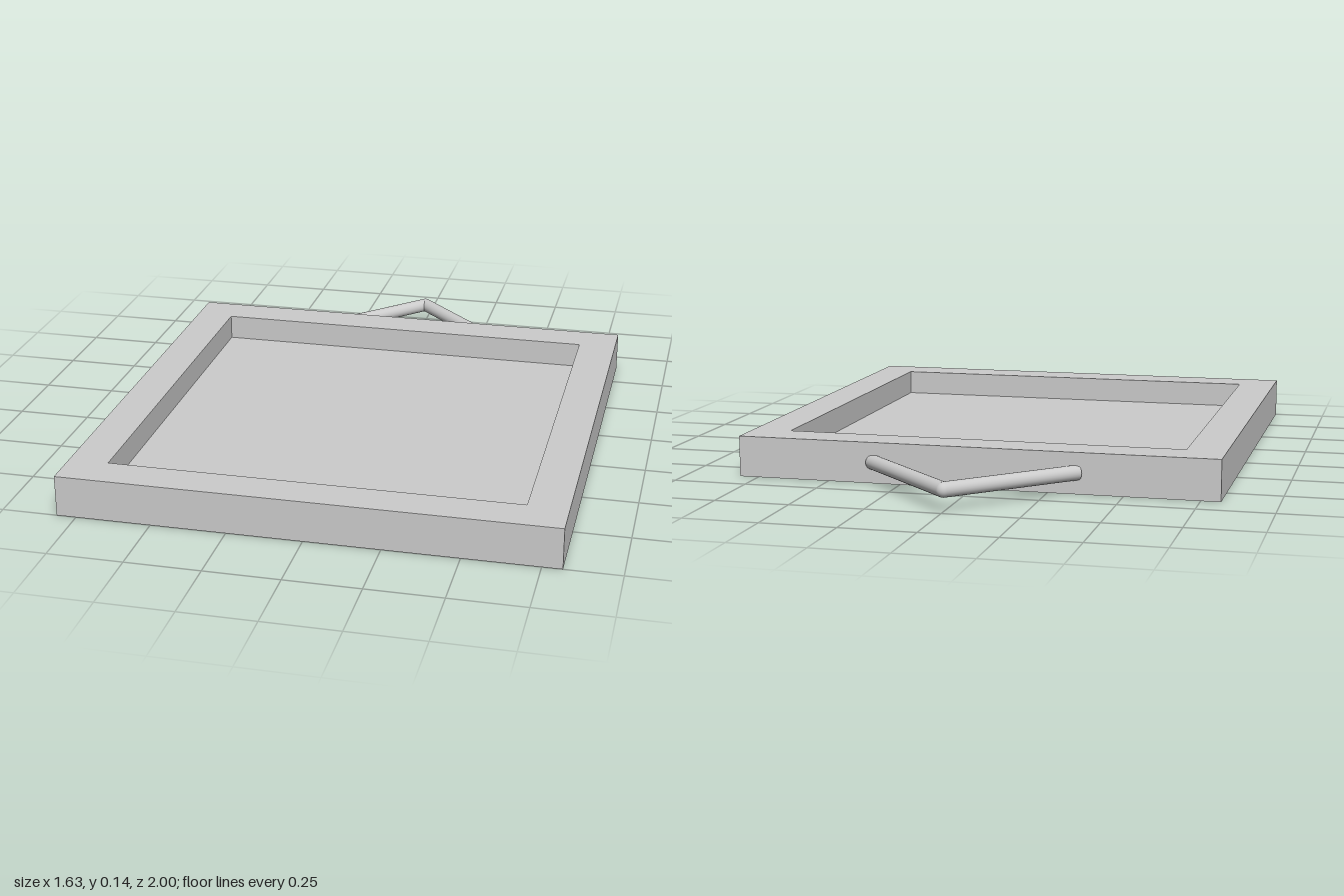
import * as THREE from 'three';

export function createModel() {
  const model = new THREE.Group();
  const flat = new THREE.MeshStandardMaterial({ color: 0xcccccc, flatShading: true });
  const smooth = new THREE.MeshStandardMaterial({ color: 0xcccccc });

  // Square tray frame with a recessed panel: one profile swept around four sides
  const profile = [[0, 0], [0.815, 0], [0.815, 0.138], [0.682, 0.138], [0.682, 0.05], [0, 0.05]]
    .map(([halfWidth, y]) => new THREE.Vector2(halfWidth * Math.SQRT2, y));
  const frameGeometry = new THREE.LatheGeometry(profile, 4).rotateY(Math.PI / 4).toNonIndexed();
  frameGeometry.computeVertexNormals();
  const frame = new THREE.Mesh(frameGeometry, flat);
  frame.name = 'frame';
  frame.scale.z = 1.003;
  frame.position.z = 0.1825;
  model.add(frame);

  // V-shaped hanger: two round rods meeting in a rounded tip
  const hanger = new THREE.Group();
  hanger.name = 'hanger';
  const radius = 0.025;
  const tip = new THREE.Vector3(0, 0.07, -0.975);
  for (const side of [1, -1]) {
    const foot = new THREE.Vector3(side * 0.348, 0.07, -0.625);
    const along = tip.clone().sub(foot);
    const rod = new THREE.Mesh(new THREE.CylinderGeometry(radius, radius, along.length(), 24), smooth);
    rod.name = side > 0 ? 'leftRod' : 'rightRod';
    rod.position.copy(foot).add(tip).multiplyScalar(0.5);
    rod.quaternion.setFromUnitVectors(new THREE.Vector3(0, 1, 0), along.normalize());
    hanger.add(rod);
  }
  const joint = new THREE.Mesh(new THREE.SphereGeometry(radius, 24, 16), smooth);
  joint.name = 'hangerTip';
  joint.position.copy(tip);
  hanger.add(joint);
  model.add(hanger);

  return model;
}
